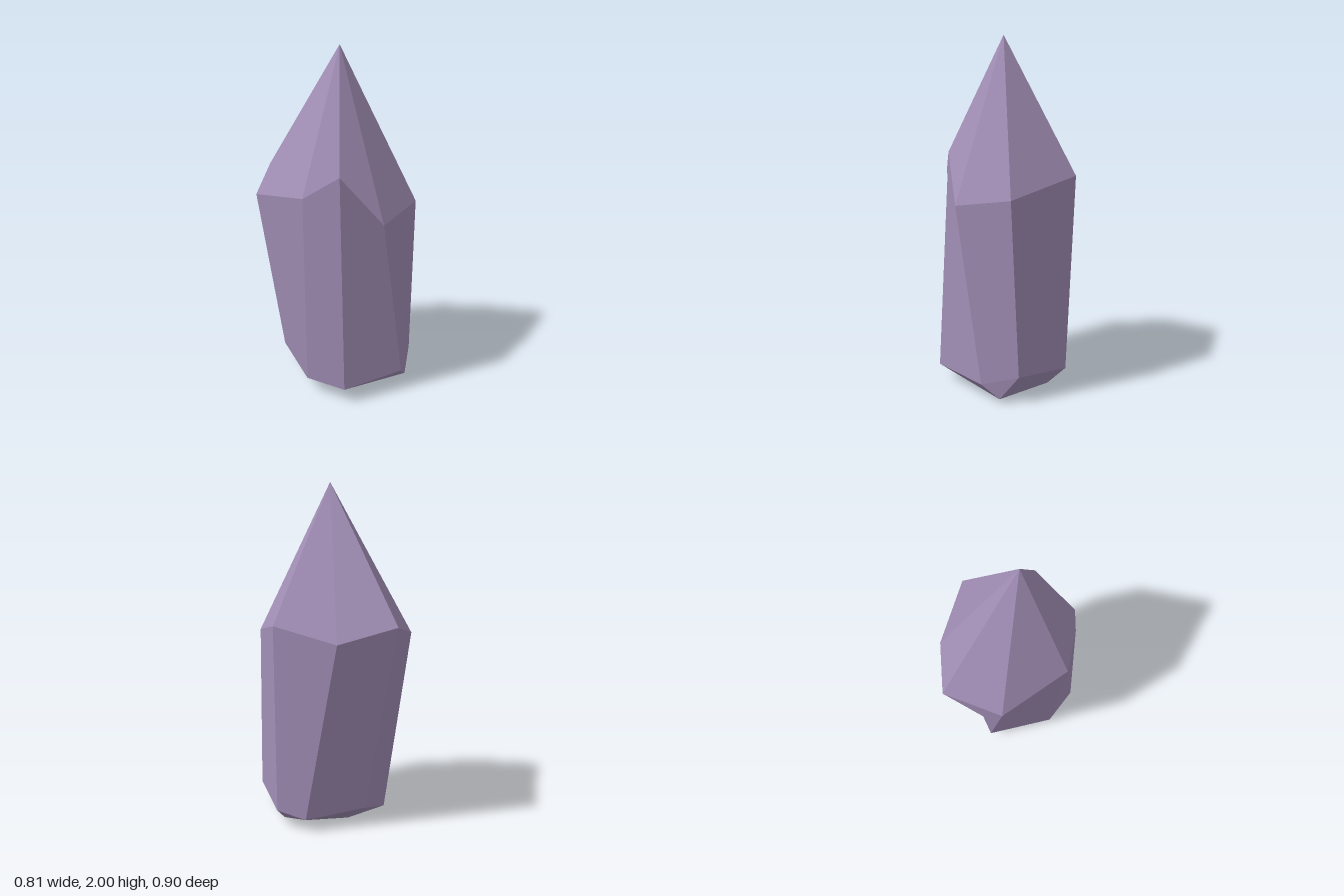
import * as THREE from 'three';

// Flat facets: each polygon is a fan from its first corner, with one shared normal
function facetGeometry(polygons) {
  const positions = [];
  const normals = [];
  for (const polygon of polygons) {
    const normal = new THREE.Vector3();
    polygon.forEach((p, i) => {
      normal.add(new THREE.Vector3().crossVectors(p, polygon[(i + 1) % polygon.length]));
    });
    normal.normalize();
    for (let i = 1; i < polygon.length - 1; i++) {
      for (const p of [polygon[0], polygon[i], polygon[i + 1]]) {
        positions.push(...p.toArray());
        normals.push(...normal.toArray());
      }
    }
  }
  const geometry = new THREE.BufferGeometry();
  geometry.setAttribute('position', new THREE.Float32BufferAttribute(positions, 3));
  geometry.setAttribute('normal', new THREE.Float32BufferAttribute(normals, 3));
  return geometry;
}

const toVectors = (points) => points.map((p) => new THREE.Vector3(...p));

export function createModel() {
  const group = new THREE.Group();
  group.name = 'crystal';
  const violet = new THREE.MeshStandardMaterial({ color: 0xa18eb5 });
  violet.name = 'dusty violet';

  const tip = new THREE.Vector3(0.007, 2, 0.058);
  // Uneven shoulder ring where the shaft meets the point
  const shoulder = toVectors([
    [-0.205, 1.24, -0.45], [0.115, 1.15, -0.37], [0.405, 1.23, -0.135], [0.373, 1.13, 0.303],
    [0.073, 1.08, 0.447], [-0.143, 1.35, 0.34], [-0.313, 1.23, 0.238], [-0.41, 1.15, -0.18],
  ]);
  // Lower end of each shaft edge, in the same order
  const foot = toVectors([
    [-0.11, 0.11, -0.225], [0.25, 0.08, -0.205], [0.39, 0.11, -0.09], [0.395, 0.15, 0.265],
    [0.245, 0.1, 0.41], [-0.15, 0.095, 0.42], [-0.285, 0.095, 0.21], [-0.24, 0.1, -0.212],
  ]);
  // Corners of the chipped underside
  const [frontChip, sideChip, backChip] = toVectors([
    [0.32, 0.02, 0.34], [0.325, 0.02, -0.01], [-0.05, 0, -0.105],
  ]);

  const point = [];
  const shaft = [];
  shoulder.forEach((corner, i) => {
    const next = (i + 1) % shoulder.length;
    point.push([tip, shoulder[next], corner]);
    shaft.push([corner, shoulder[next], foot[next], foot[i]]);
  });

  const underside = [
    [sideChip, foot[1], foot[2]],
    [sideChip, foot[2], foot[3], frontChip],
    [backChip, foot[0], foot[1], sideChip],
    [backChip, foot[7], foot[0]],
    [backChip, foot[6], foot[7]],
    [frontChip, foot[3], foot[4]],
    [frontChip, foot[4], foot[5]],
    [backChip, sideChip, frontChip, foot[5], foot[6]],
  ];

  for (const [name, polygons] of Object.entries({ point, shaft, underside })) {
    const mesh = new THREE.Mesh(facetGeometry(polygons), violet);
    mesh.name = name;
    group.add(mesh);
  }
  return group;
}
